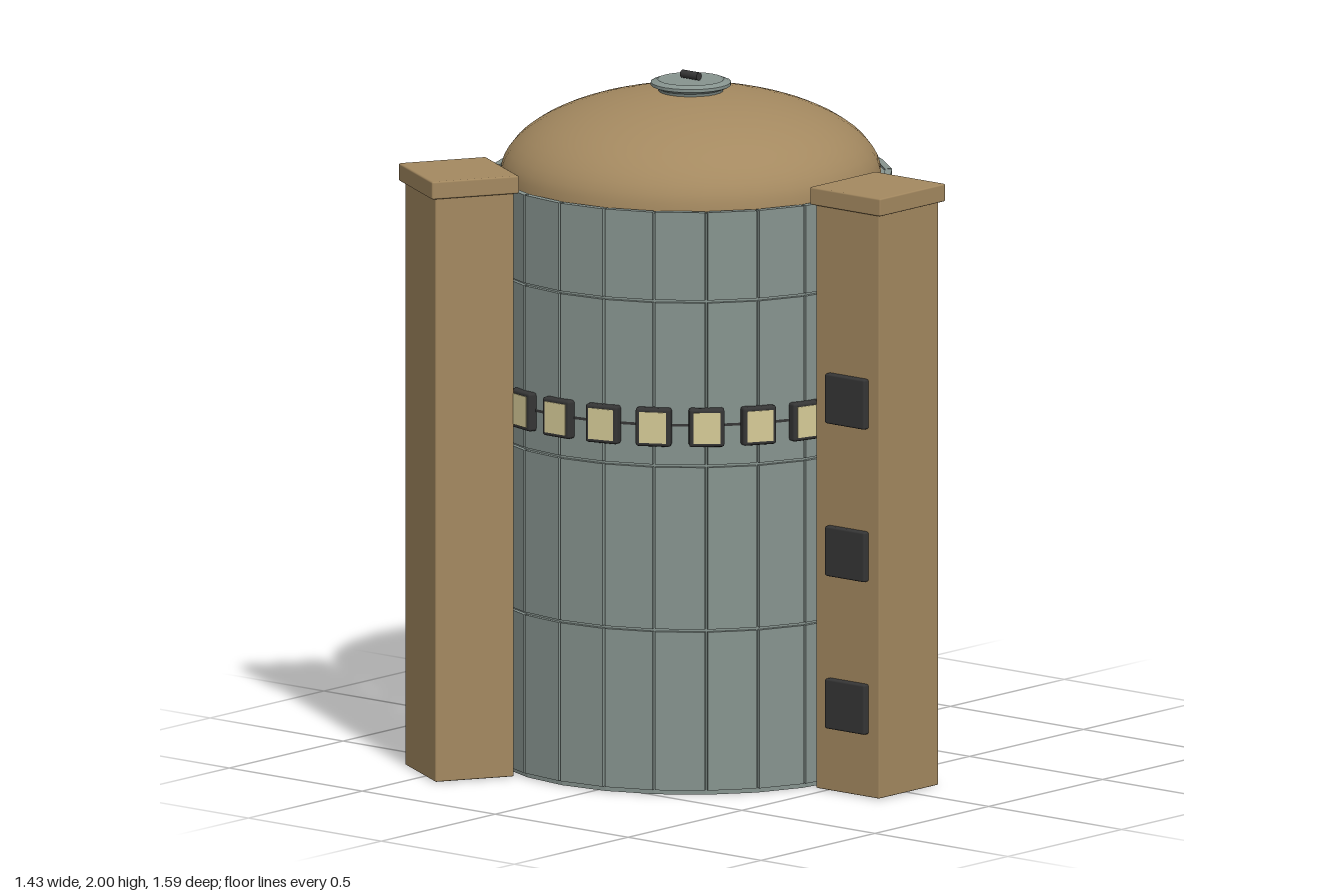
import * as THREE from 'three';
import { RoundedBoxGeometry } from 'three/addons/geometries/RoundedBoxGeometry.js';

const mat = (name, color, extra = {}) => {
  const m = new THREE.MeshStandardMaterial({ color, ...extra });
  m.name = name;
  return m;
};

export function createModel() {
  const steel = mat('greyGreenSteel', 0x87948f, { flatShading: true });
  const tan = mat('tan', 0xa48960);
  const dark = mat('charcoal', 0x363636);
  const pane = mat('creamPane', 0xd6cb97);

  const model = new THREE.Group();
  model.name = 'tank';
  const body = new THREE.Group();
  body.name = 'tankBody';
  body.position.x = -0.12;
  model.add(body);

  const add = (parent, name, geometry, material, x = 0, y = 0, z = 0) => {
    const mesh = new THREE.Mesh(geometry, material);
    mesh.name = name;
    mesh.position.set(x, y, z);
    parent.add(mesh);
    return mesh;
  };

  // A group turned about the tank axis, its +z pointing outward
  const spoke = (name, angle) => {
    const g = new THREE.Group();
    g.name = name;
    g.rotation.y = angle;
    body.add(g);
    return g;
  };

  const SIDES = 24, R = 0.577, GAP = 0.008, STEP = (Math.PI * 2) / SIDES;
  const apothem = R * Math.cos(STEP / 2);
  const panelWidth = 2 * R * Math.sin(STEP / 2) - GAP;

  // Inner drum behind the cladding
  add(body, 'drum', new THREE.CylinderGeometry(0.565, 0.565, 1.695, SIDES), steel, 0, 0.8525, 0);

  // Cladding panels in four rows
  const rows = [0.015, 0.485, 0.965, 1.445, 1.709];
  const rowGeometries = rows.slice(1).map((top, r) =>
    new THREE.BoxGeometry(panelWidth, top - rows[r] - GAP, 0.02));
  for (let i = 0; i < SIDES; i++) {
    const g = spoke('panelColumn', (i + 0.5) * STEP);
    rowGeometries.forEach((geo, r) =>
      add(g, 'panel', geo, steel, 0, (rows[r] + rows[r + 1]) / 2, apothem - 0.01));
  }

  // Thin rail joining the windows
  const rail = new THREE.CylinderGeometry(0.579, 0.579, 0.008, SIDES, 1, true);
  add(body, 'windowRail', rail, dark, 0, 1.085, 0);

  // Ring of framed windows, left out behind the towers
  const frameGeometry = new RoundedBoxGeometry(0.102, 0.112, 0.035, 1, 0.008);
  const paneGeometry = new THREE.BoxGeometry(0.078, 0.09, 0.006);
  for (let i = 0; i < SIDES; i++) {
    if (i % 8 === 6) continue;
    const g = spoke('window', i * STEP);
    add(g, 'windowFrame', frameGeometry, dark, 0, 1.08, 0.578);
    add(g, 'windowPane', paneGeometry, pane, 0, 1.08, 0.595);
  }

  // Domed roof
  const domeProfile = [];
  for (let i = 0; i <= 16; i++) {
    const a = (i / 16) * Math.PI / 2;
    domeProfile.push(new THREE.Vector2(0.545 * Math.cos(a), 1.7 + 0.247 * Math.sin(a)));
  }
  domeProfile[16].x = 0;
  add(body, 'dome', new THREE.LatheGeometry(domeProfile, 40), tan);

  // Roof hatch with a bar handle
  const hatchProfile = [[0.09, 1.935], [0.095, 1.951], [0.115, 1.96], [0.115, 1.969],
    [0.095, 1.977], [0.09, 1.974], [0, 1.974]].map(([x, y]) => new THREE.Vector2(x, y));
  add(body, 'hatch', new THREE.LatheGeometry(hatchProfile, 24), steel);
  const handle = add(body, 'hatchHandle', new THREE.CylinderGeometry(0.012, 0.012, 0.062, 12), dark, 0, 1.988, 0);
  handle.rotation.z = Math.PI / 2;

  // Three square towers, each with a cap and a column of side windows
  const towerGeometry = new RoundedBoxGeometry(0.238, 1.71, 0.262, 1, 0.004);
  const capGeometry = new RoundedBoxGeometry(0.265, 0.052, 0.288, 1, 0.005);
  const towerWindow = new RoundedBoxGeometry(0.15, 0.146, 0.036, 1, 0.006);
  for (let i = 0; i < 3; i++) {
    const g = spoke('tower', (i * Math.PI * 2) / 3);
    add(g, 'towerShaft', towerGeometry, tan, 0.701, 0.862, 0);
    add(g, 'towerCap', capGeometry, tan, 0.7025, 1.735, 0);
    for (const y of [0.263, 0.708, 1.153]) add(g, 'towerWindow', towerWindow, dark, 0.705, y, 0.132);
  }

  return model;
}
